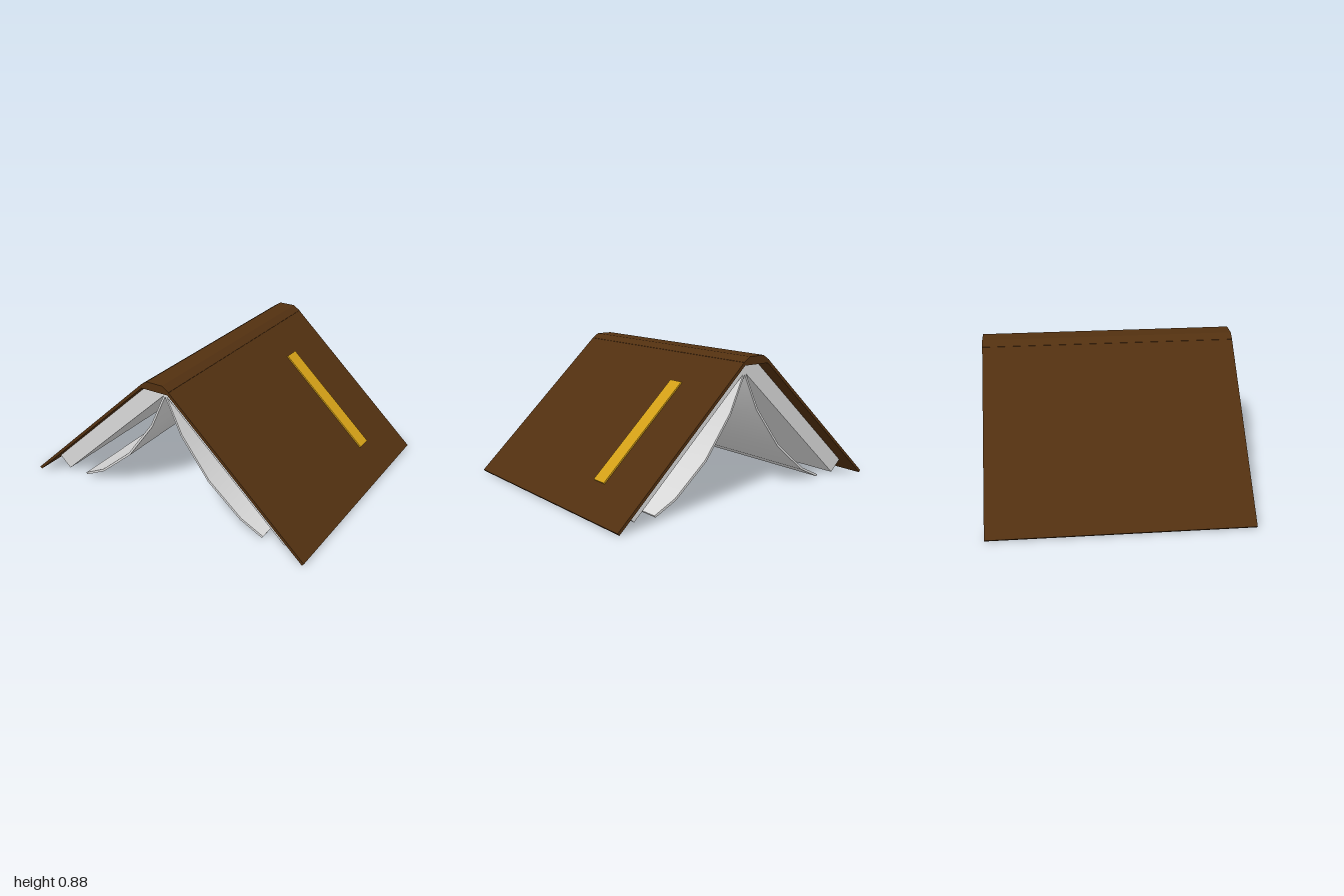
import * as THREE from 'three';
import { toCreasedNormals } from 'three/addons/utils/BufferGeometryUtils.js';

const material = (name, color) => {
  const m = new THREE.MeshStandardMaterial({ color });
  m.name = name;
  return m;
};

// Extrudes an x/y outline between two z values; side = -1 mirrors it.
function prism(name, points, z0, z1, mat, side = 1) {
  const shape = new THREE.Shape(points.map(([x, y]) => new THREE.Vector2(x * side, y)));
  const geometry = new THREE.ExtrudeGeometry(shape, { depth: z1 - z0, bevelEnabled: false });
  geometry.translate(0, 0, z0);
  const mesh = new THREE.Mesh(toCreasedNormals(geometry, 0.5), mat);
  mesh.name = name;
  return mesh;
}

export function createModel() {
  const leather = material('brown leather', 0x523010);
  const paper = material('page paper', 0xd8d8d8);
  const gold = material('gold strip', 0xd4a017);

  const book = new THREE.Group();
  book.name = 'openBook';

  // Spine along the ridge
  book.add(prism('spine', [
    [-0.1, 0.83], [0.1, 0.83], [0.1, 0.85], [0.055, 0.88], [-0.055, 0.88], [-0.1, 0.85],
  ], -0.8, 0.8, leather));

  // Loose sheet: a curved centre line given a small thickness
  const curve = [[0, 0.77], [0.11, 0.53], [0.3, 0.275], [0.525, 0.085], [0.675, 0.012]];
  const sheet = [
    ...curve.map(([x, y]) => [x + 0.004, y + 0.006]),
    ...curve.map(([x, y]) => [x - 0.004, y - 0.006]).reverse(),
  ];

  for (const side of [1, -1]) {
    const label = side > 0 ? 'left' : 'right';
    book.add(prism(label + 'Cover', [
      [0.095, 0.853], [1, 0.013], [0.988, 0], [0.083, 0.838],
    ], -0.8, 0.8, leather, side));
    book.add(prism(label + 'PageBlock', [
      [0, 0.77], [0.82, 0.01], [0.9, 0.086], [0.09, 0.835], [0, 0.835],
    ], -0.7, 0.7, paper, side));
    book.add(prism(label + 'LooseSheet', sheet, -0.7, 0.7, paper, side));
  }

  // Thin gold strip lying on the left cover
  book.add(prism('goldStrip', [
    [0.262, 0.698], [0.832, 0.169], [0.838, 0.176], [0.268, 0.705],
  ], -0.43, -0.325, gold));

  return book;
}
